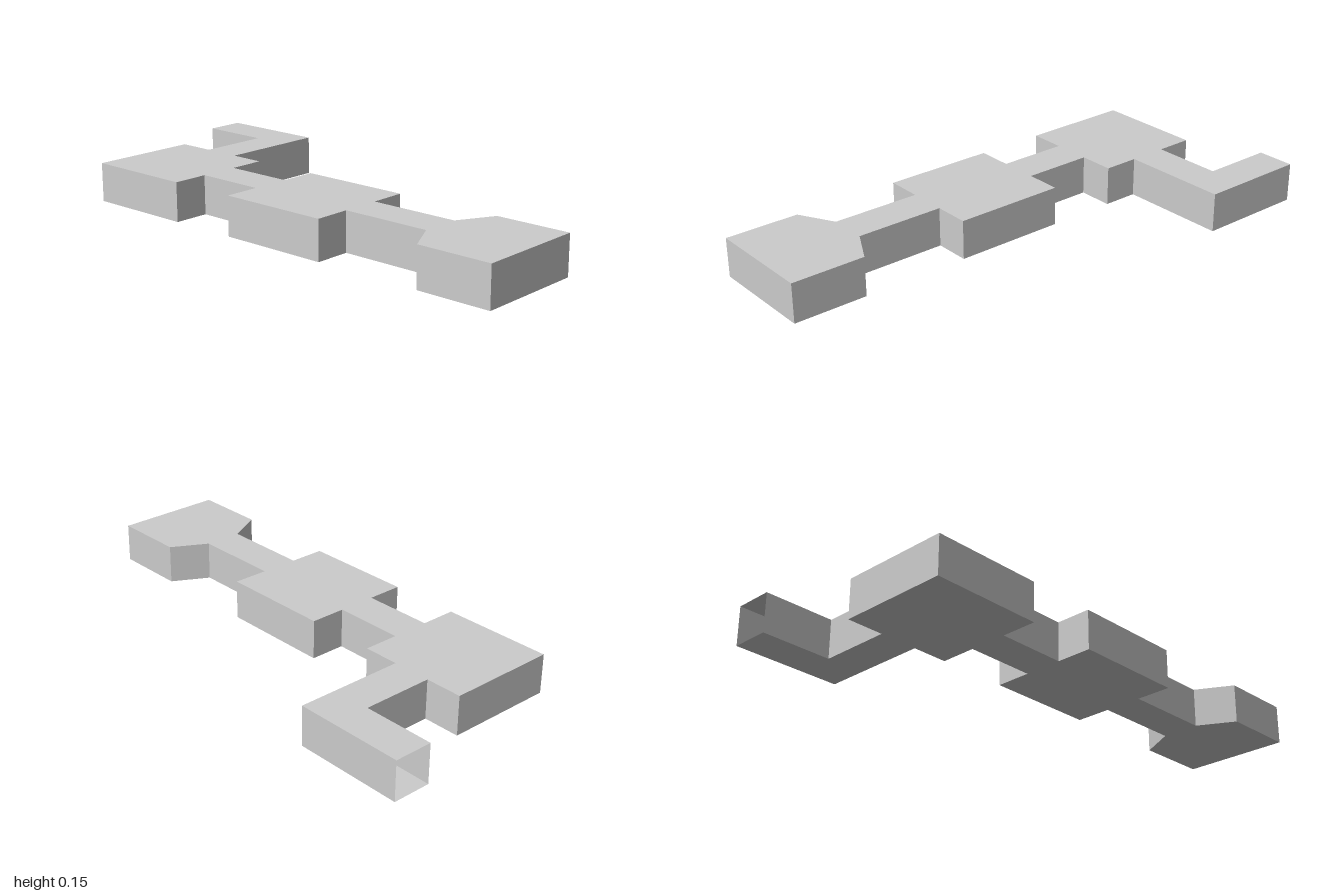
import * as THREE from 'three';

const HEIGHT = 0.153;

// Plan outline as [x, z], starting and ending at the open doorway
const OUTLINE = [
  // exit passage, inner side, and rear room
  [0.28, -1], [0.28, -0.72], [0, -0.72], [0, -0.865], [-0.43, -0.865], [-0.43, -0.43],
  // rear corridor, middle room, front corridor (right side)
  [-0.29, -0.43], [-0.29, -0.155], [-0.43, -0.155], [-0.43, 0.285], [-0.29, 0.285], [-0.29, 0.635],
  // front room with tapered shoulders
  [-0.43, 0.71], [-0.43, 1], [0, 1], [0, 0.71],
  // the same corridors and room (left side)
  [-0.14, 0.635], [-0.14, 0.285], [0, 0.285], [0, -0.155], [-0.14, -0.155], [-0.14, -0.43],
  // rear room and exit passage, outer side
  [0, -0.43], [0, -0.57], [0.43, -0.57], [0.43, -1],
];

export function createModel() {
  const group = new THREE.Group();
  group.name = 'roomsAndCorridors';
  const material = new THREE.MeshStandardMaterial({
    color: 0xcccccc, side: THREE.DoubleSide, flatShading: true,
  });

  // Roof and floor share the plan shape
  const plan = new THREE.Shape(OUTLINE.map(([x, z]) => new THREE.Vector2(x, -z)));
  const roof = new THREE.Mesh(new THREE.ShapeGeometry(plan).rotateX(-Math.PI / 2), material);
  roof.name = 'roof';
  roof.position.y = HEIGHT;

  const floorGeometry = new THREE.ShapeGeometry(plan).rotateX(-Math.PI / 2);
  floorGeometry.index.array.reverse(); // face downwards
  floorGeometry.computeVertexNormals();
  const floor = new THREE.Mesh(floorGeometry, material);
  floor.name = 'floor';
  group.add(roof, floor);

  // One upright panel per outline edge; the doorway edge stays open
  const walls = new THREE.Group();
  walls.name = 'walls';
  for (let i = 0; i < OUTLINE.length - 1; i++) {
    const [ax, az] = OUTLINE[i];
    const [bx, bz] = OUTLINE[i + 1];
    const panel = new THREE.PlaneGeometry(Math.hypot(bx - ax, bz - az), HEIGHT);
    const wall = new THREE.Mesh(panel, material);
    wall.name = 'wall';
    wall.position.set((ax + bx) / 2, HEIGHT / 2, (az + bz) / 2);
    wall.rotation.y = Math.atan2(az - bz, bx - ax);
    walls.add(wall);
  }
  group.add(walls);
  return group;
}
